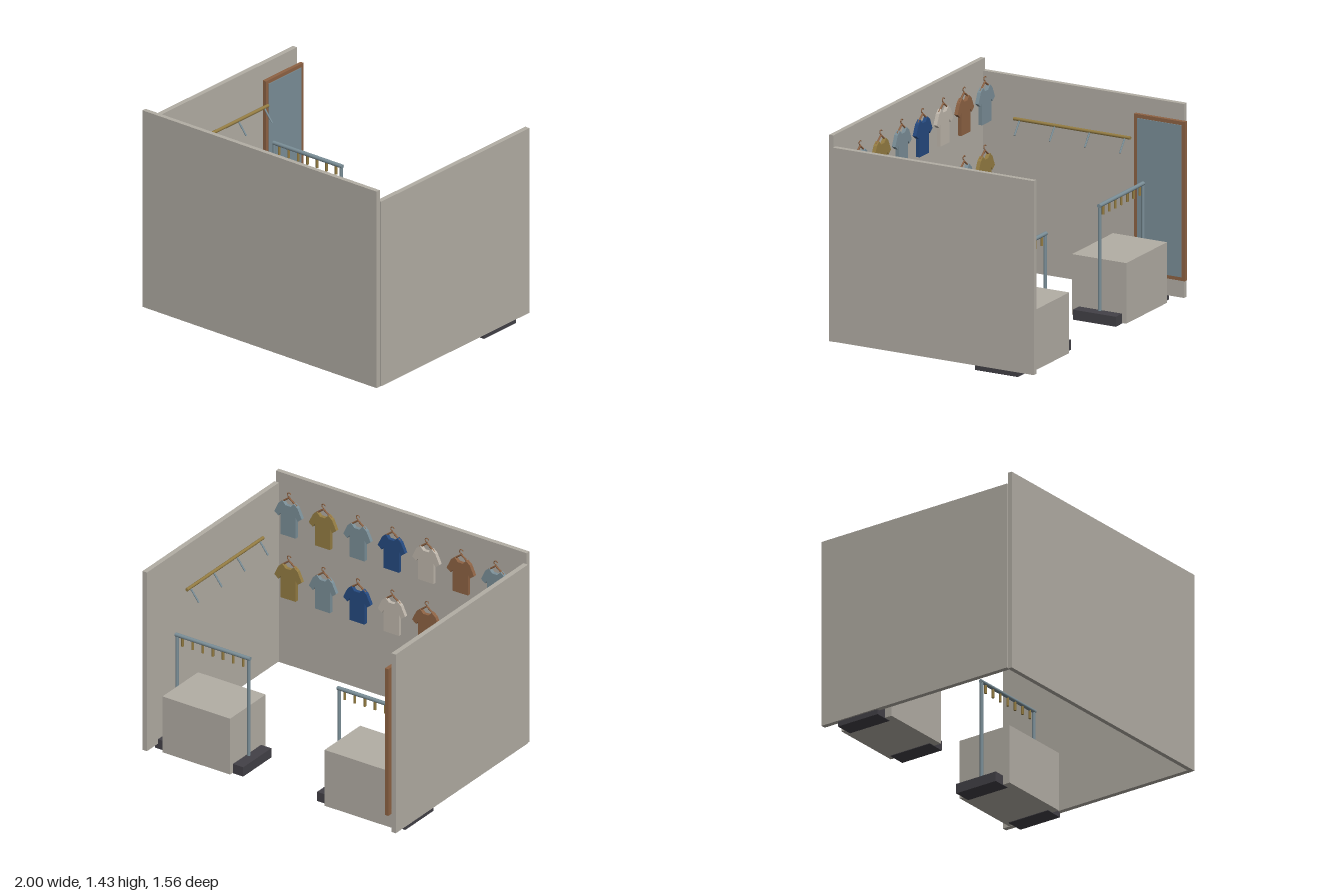
import * as THREE from 'three';

const mat = (name, color) => {
  const m = new THREE.MeshStandardMaterial({ color });
  m.name = name;
  return m;
};

export function createModel() {
  const root = new THREE.Group();
  root.name = 'clothesShop';

  const plaster = mat('plaster', 0xb3aea5);
  const charcoal = mat('charcoal', 0x434147);
  const steel = mat('steel', 0x7b8f98);
  const brass = mat('brass', 0x957d43);
  const wood = mat('wood', 0x8e6344);
  const navy = mat('navy', 0x254a80);
  const cream = mat('cream', 0xbfb7ac);

  const add = (parent, name, geo, material, x = 0, y = 0, z = 0) => {
    const m = new THREE.Mesh(geo, material);
    m.name = name;
    m.position.set(x, y, z);
    parent.add(m);
    return m;
  };
  // Box given by its limits on each axis
  const box = (parent, name, material, [x0, x1], [y0, y1], [z0, z1]) =>
    add(parent, name, new THREE.BoxGeometry(x1 - x0, y1 - y0, z1 - z0), material,
      (x0 + x1) / 2, (y0 + y1) / 2, (z0 + z1) / 2);
  // Round rod between two points
  const rod = (parent, name, material, a, b, r, sides = 10) => {
    const p = new THREE.Vector3(...a), q = new THREE.Vector3(...b);
    const d = q.clone().sub(p);
    const m = add(parent, name, new THREE.CylinderGeometry(r, r, d.length(), sides), material);
    m.position.copy(p).add(q).multiplyScalar(0.5);
    m.quaternion.setFromUnitVectors(new THREE.Vector3(0, 1, 0), d.normalize());
    return m;
  };

  // Walls
  box(root, 'frontWall', plaster, [-0.99, 0.99], [0.03, 1.43], [0.745, 0.777]);
  for (const s of [-1, 1]) {
    const wall = box(root, 'sideWall', plaster, [0.965, 1], [0.035, 1.35], [-0.755, 0.745]);
    wall.position.x *= s;
  }

  for (const s of [-1, 1]) {
    // Display block with a clothes rack standing over it
    const rack = new THREE.Group();
    rack.name = 'clothesRack';
    rack.position.set(s * 0.64, 0, 0);
    root.add(rack);
    box(rack, 'displayBlock', plaster, [-0.267, 0.267], [0.004, 0.415], [-0.662, -0.258]);
    for (const t of [-1, 1]) {
      box(rack, 'rackFoot', charcoal, [t * 0.283 - 0.065, t * 0.283 + 0.065], [0, 0.068], [-0.63, -0.31]);
      rod(rack, 'rackPost', steel, [t * 0.283, 0.06, -0.473], [t * 0.283, 0.785, -0.473], 0.012);
    }
    rod(rack, 'rackBar', steel, [-0.295, 0.78, -0.473], [0.295, 0.78, -0.473], 0.014);
    for (let i = -3; i <= 3; i++) {
      rod(rack, 'rackHook', brass, [i * 0.08, 0.772, -0.473], [i * 0.08, 0.71, -0.473], 0.009, 8);
    }

    // Wall rail with sloping prongs
    const rail = new THREE.Group();
    rail.name = 'wallRail';
    root.add(rail);
    rod(rail, 'railBar', brass, [s * 0.905, 1.08, -0.39], [s * 0.905, 1.08, 0.48], 0.0115);
    for (let i = 0; i < 4; i++) {
      const z = -0.35 + i * 0.262;
      rod(rail, 'railProng', steel, [s * 0.905, 1.08, z], [s * 0.836, 0.99, z], 0.006, 8);
    }
  }

  // Tall mirror on the right wall
  const mirror = new THREE.Group();
  mirror.name = 'tallMirror';
  root.add(mirror);
  const fx = [-0.958, -0.932];
  box(mirror, 'mirrorFrameBottom', wood, fx, [0.16, 0.19], [-0.78, -0.4]);
  box(mirror, 'mirrorFrameTop', wood, fx, [1.21, 1.24], [-0.78, -0.4]);
  box(mirror, 'mirrorFrameRear', wood, fx, [0.19, 1.21], [-0.78, -0.75]);
  box(mirror, 'mirrorFrameInner', wood, fx, [0.19, 1.21], [-0.43, -0.4]);
  box(mirror, 'mirrorBack', wood, [-0.956, -0.935], [0.19, 1.21], [-0.75, -0.43]);
  box(mirror, 'mirrorGlass', steel, [-0.935, -0.927], [0.185, 1.215], [-0.755, -0.425]);

  // T-shirt outline, right half from neck to hem, then mirrored
  const half = [[0.02, 0.222], [0.045, 0.25], [0.075, 0.225], [0.108, 0.155],
    [0.076, 0.13], [0.06, 0.155], [0.06, 0]];
  const outline = [...half, ...half.map(([x, y]) => [-x, y]).reverse()];
  const shirtGeo = new THREE.ExtrudeGeometry(
    new THREE.Shape(outline.map(([x, y]) => new THREE.Vector2(x, y))),
    { depth: 0.026, bevelEnabled: false });
  shirtGeo.translate(0, 0, -0.013);
  const hookGeo = new THREE.TorusGeometry(0.014, 0.0035, 6, 14, Math.PI * 1.4);
  hookGeo.rotateZ(-Math.PI / 2);

  // Two rows of shirts on hangers, listed from -x to +x
  const rows = [
    [1.05, [steel, wood, cream, navy, steel, brass, steel]],
    [0.585, [brass, steel, wood, cream, navy, steel, brass]],
  ];
  for (const [y, colours] of rows) {
    colours.forEach((colour, i) => {
      const item = new THREE.Group();
      item.name = 'hangingShirt';
      item.position.set((i - 3) * 0.272, y, 0.645);
      root.add(item);
      add(item, 'shirt', shirtGeo, colour);
      for (const t of [-1, 1]) {
        rod(item, 'hangerArm', wood, [0, 0.278, 0], [t * 0.06, 0.232, 0], 0.006, 8);
      }
      rod(item, 'hangerNeck', wood, [0, 0.272, 0], [0, 0.288, 0], 0.0035, 6);
      add(item, 'hangerHook', hookGeo, wood, 0, 0.3, 0);
    });
  }

  return root;
}
